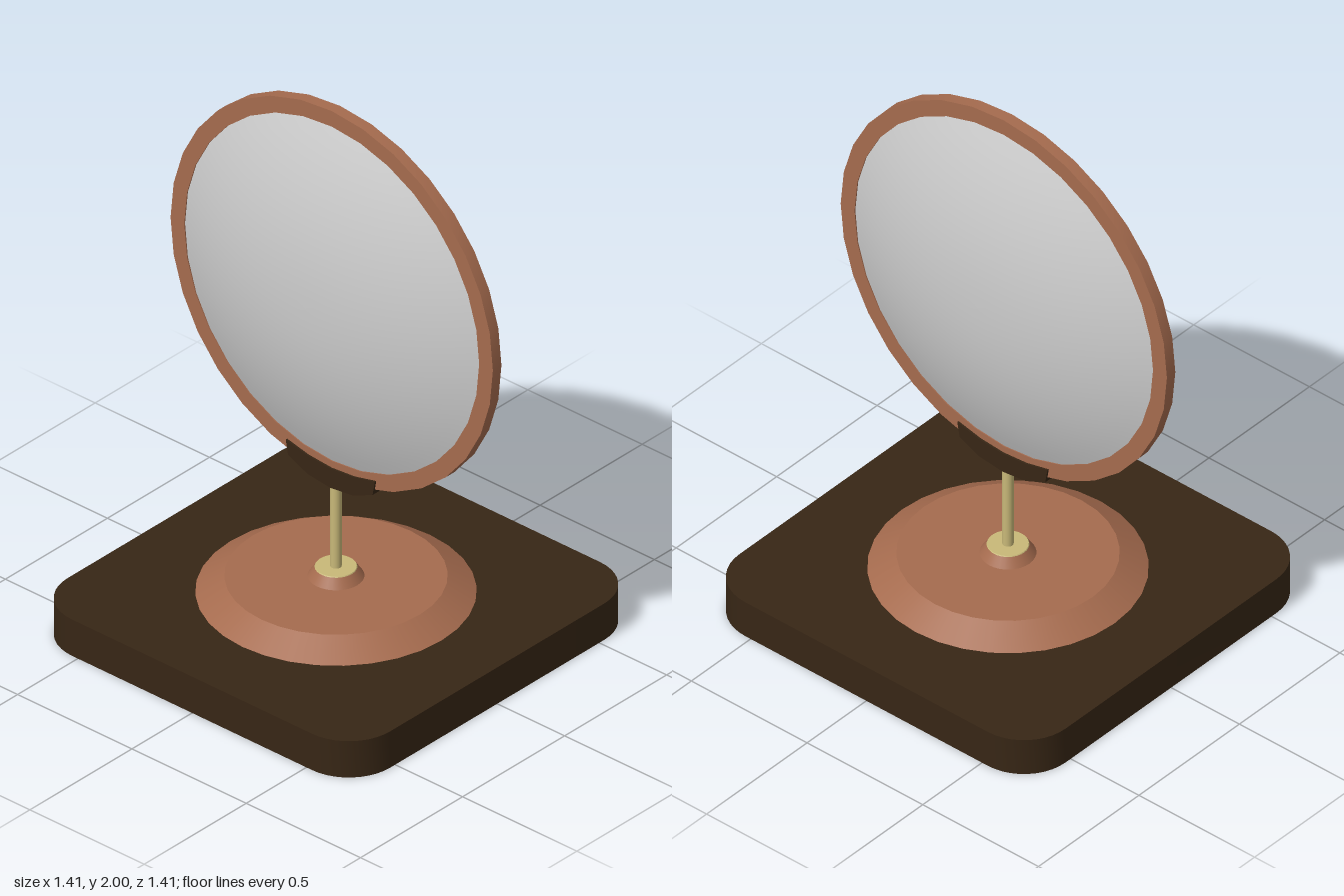
import * as THREE from 'three';
import { toCreasedNormals } from 'three/addons/utils/BufferGeometryUtils.js';

const SIDES = 32, CENTRE_Y = 1.295;
const mat = (color) => new THREE.MeshStandardMaterial({ color });

export function createModel() {
  const model = new THREE.Group();
  const wood = mat(0x372615), copper = mat(0xa56b4e), brass = mat(0xc8b878), glass = mat(0xcccccc);

  const add = (name, geometry, material, y = 0, parent = model) => {
    const mesh = new THREE.Mesh(geometry, material);
    mesh.name = name;
    mesh.position.y = y;
    parent.add(mesh);
    return mesh;
  };
  const extrude = (shape, depth, curveSegments) => {
    const g = new THREE.ExtrudeGeometry(shape, { depth, bevelEnabled: false, curveSegments });
    g.translate(0, 0, -depth / 2);
    return toCreasedNormals(g, 0.6);
  };

  // Square plinth with rounded corners
  const h = 0.705, r = 0.18, s = new THREE.Shape();
  s.moveTo(h, h - r);
  s.absarc(h - r, h - r, r, 0, Math.PI / 2);
  s.absarc(r - h, h - r, r, Math.PI / 2, Math.PI);
  s.absarc(r - h, r - h, r, Math.PI, Math.PI * 1.5);
  s.absarc(h - r, r - h, r, Math.PI * 1.5, Math.PI * 2);
  add('plinth', extrude(s, 0.14, 5).rotateX(-Math.PI / 2), wood, 0.07);

  // Stepped foot, its brass cap and the stem
  add('foot', new THREE.CylinderGeometry(0.365, 0.46, 0.06, SIDES), copper, 0.17);
  add('collar', new THREE.CylinderGeometry(0.07, 0.093, 0.034, SIDES), copper, 0.217);
  add('collarCap', new THREE.CylinderGeometry(0.068, 0.07, 0.003, SIDES), brass, 0.2355);
  add('stem', new THREE.CylinderGeometry(0.019, 0.019, 0.35, 16), brass, 0.395);

  // Round head, built facing z and turned to face sideways
  const head = new THREE.Group();
  head.name = 'mirrorHead';
  head.position.y = CENTRE_Y;
  head.rotation.y = Math.PI / 2;
  model.add(head);

  const circle = (radius, Type) => {
    const c = new Type();
    for (let i = 0; i <= SIDES; i++) {
      const a = (i / SIDES) * Math.PI * 2;
      c[i ? 'lineTo' : 'moveTo'](radius * Math.cos(a), radius * Math.sin(a));
    }
    return c;
  };
  const ring = circle(0.705, THREE.Shape);
  ring.holes.push(circle(0.645, THREE.Path));
  add('rim', extrude(ring, 0.042, 1), copper, 0, head);

  // Bulging mirror faces, one per side
  const profile = [];
  for (let i = 0; i <= 14; i++) {
    const t = 1 - i / 14;
    profile.push(new THREE.Vector2(0.65 * t, 0.015 + 0.135 * (1 - t ** 2.15)));
  }
  for (const side of [1, -1]) {
    const face = add(side > 0 ? 'mirrorLeft' : 'mirrorRight',
      new THREE.LatheGeometry(profile, SIDES), glass, 0, head);
    face.rotation.x = side * Math.PI / 2;
  }

  // Curved cradle gripping the bottom of the rim
  const half = [[0.1, 0.562], [0.185, 0.6], [0.195, 0.655], [0.1, 0.633]];
  const outline = [[0, 0.55], ...half, [0, 0.625], ...half.map(([x, y]) => [-x, y]).reverse()];
  const cradle = new THREE.Shape(outline.map(([x, y]) => new THREE.Vector2(x, y - CENTRE_Y)));
  add('cradle', extrude(cradle, 0.056, 1), wood, 0, head);

  return model;
}
